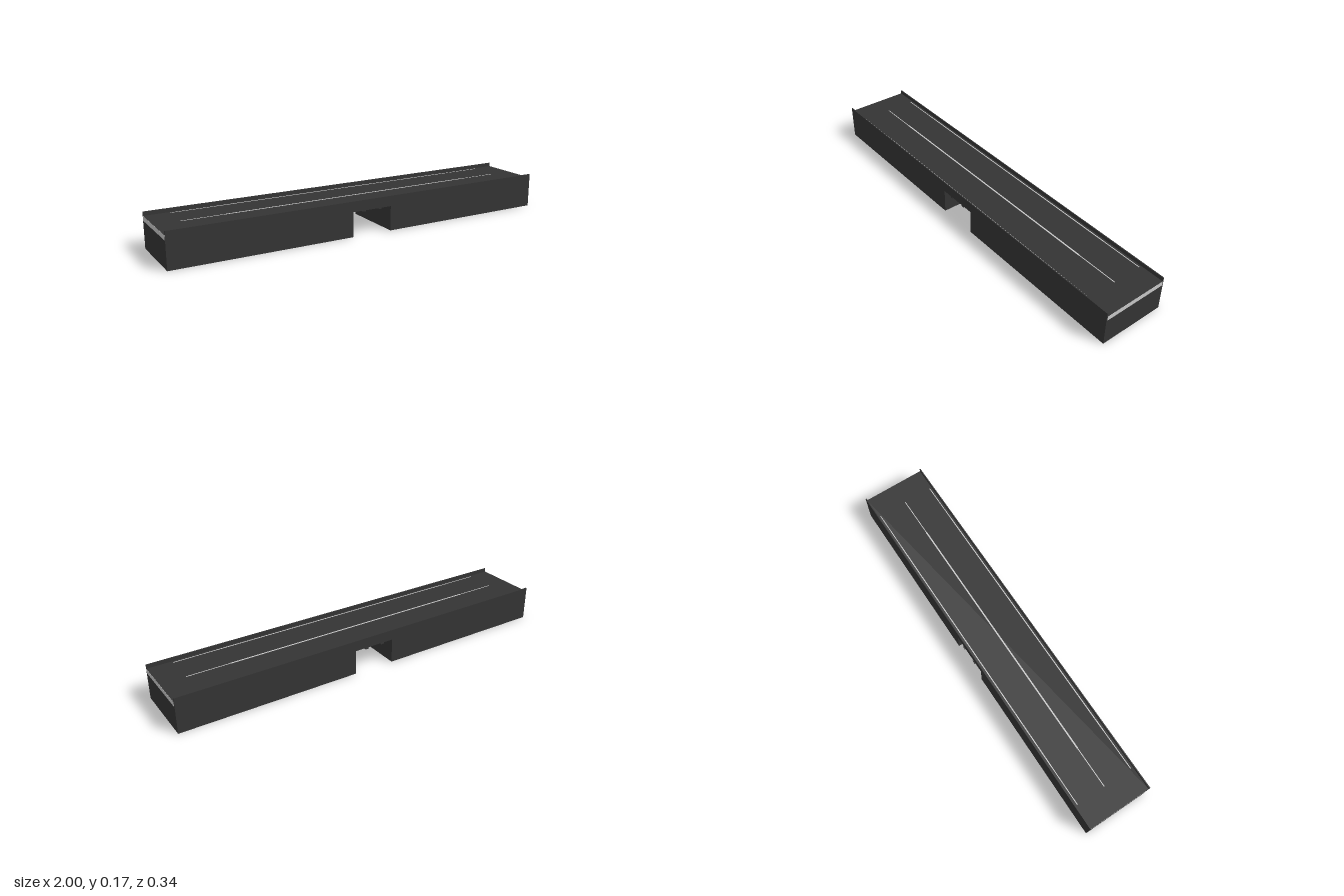
import * as THREE from 'three';

const dark = new THREE.MeshStandardMaterial({ color: 0x343434 });
dark.name = 'asphalt dark';
const light = new THREE.MeshStandardMaterial({ color: 0xc8c8c8 });
light.name = 'light concrete';

const Z0 = -0.165, Z1 = 0.168, WALL = 0.005;
const MID = (Z0 + Z1) / 2, WIDTH = Z1 - Z0;
const GAP = 0.105; // half width of the underpass

export function createModel() {
  const model = new THREE.Group();

  // box given by its limits on each axis
  const box = (name, mat, [x0, x1], [y0, y1], [z0, z1]) => {
    const mesh = new THREE.Mesh(new THREE.BoxGeometry(x1 - x0, y1 - y0, z1 - z0), mat);
    mesh.position.set((x0 + x1) / 2, (y0 + y1) / 2, (z0 + z1) / 2);
    mesh.name = name;
    model.add(mesh);
  };

  // side walls with the underpass cut out, rising as low parapets above the road
  const outline = new THREE.Shape([
    [-1, 0], [-GAP, 0], [-GAP, 0.123], [GAP, 0.123], [GAP, 0], [1, 0], [1, 0.175], [-1, 0.175],
  ].map(([x, y]) => new THREE.Vector2(x, y)));
  const wallGeometry = new THREE.ExtrudeGeometry(outline, { depth: WALL, bevelEnabled: false });
  for (const [name, z] of [['frontWall', Z1 - WALL], ['backWall', Z0]]) {
    const wall = new THREE.Mesh(wallGeometry, dark);
    wall.position.z = z;
    wall.name = name;
    model.add(wall);
  }

  const inner = [Z0 + WALL, Z1 - WALL];

  // road surface and the pale slab carrying its middle
  box('roadDeck', dark, [-1, 1], [0.152, 0.156], inner);
  box('middleSlab', light, [-0.67, 0.67], [0.135, 0.152], inner);

  for (const s of [-1, 1]) {
    const span = (a, b) => (s > 0 ? [a, b] : [-b, -a]);
    // end wall, pale deck edge and underpass wall; the base is open below
    box('endWall', dark, span(0.996, 1), [0, 0.133], inner);
    box('deckEdge', light, span(0.997, 1.0005), [0.133, 0.1558], inner);
    box('underpassWall', dark, span(GAP, GAP + 0.004), [0, 0.135], inner);
  }

  // painted lines: thick on the middle, thin on the approaches
  const line = (name, z, half, width) =>
    box(name, light, [-half, half], [0.156, 0.1568], [z - width / 2, z + width / 2]);
  for (const z of [MID - 0.149, MID, MID + 0.149]) {
    line('roadLineApproach', z, 0.88, 0.004);
    const middle = z === MID ? 0.007 : 0.005;
    box('roadLineMiddle', light, [-0.67, 0.67], [0.156, 0.157], [z - middle / 2, z + middle / 2]);
  }

  // girder lattice under the span
  for (const x of [-0.045, 0.043])
    box('girder', dark, [x - 0.009, x + 0.009], [0.118, 0.123], [Z0 - 0.004, Z1 + 0.001]);
  for (let i = 0; i < 5; i++) {
    const z = MID + (i - 2) * WIDTH * 0.2;
    box('crossBeam', dark, [-GAP, GAP], [0.123, 0.13], [z - 0.009, z + 0.009]);
  }

  return model;
}
